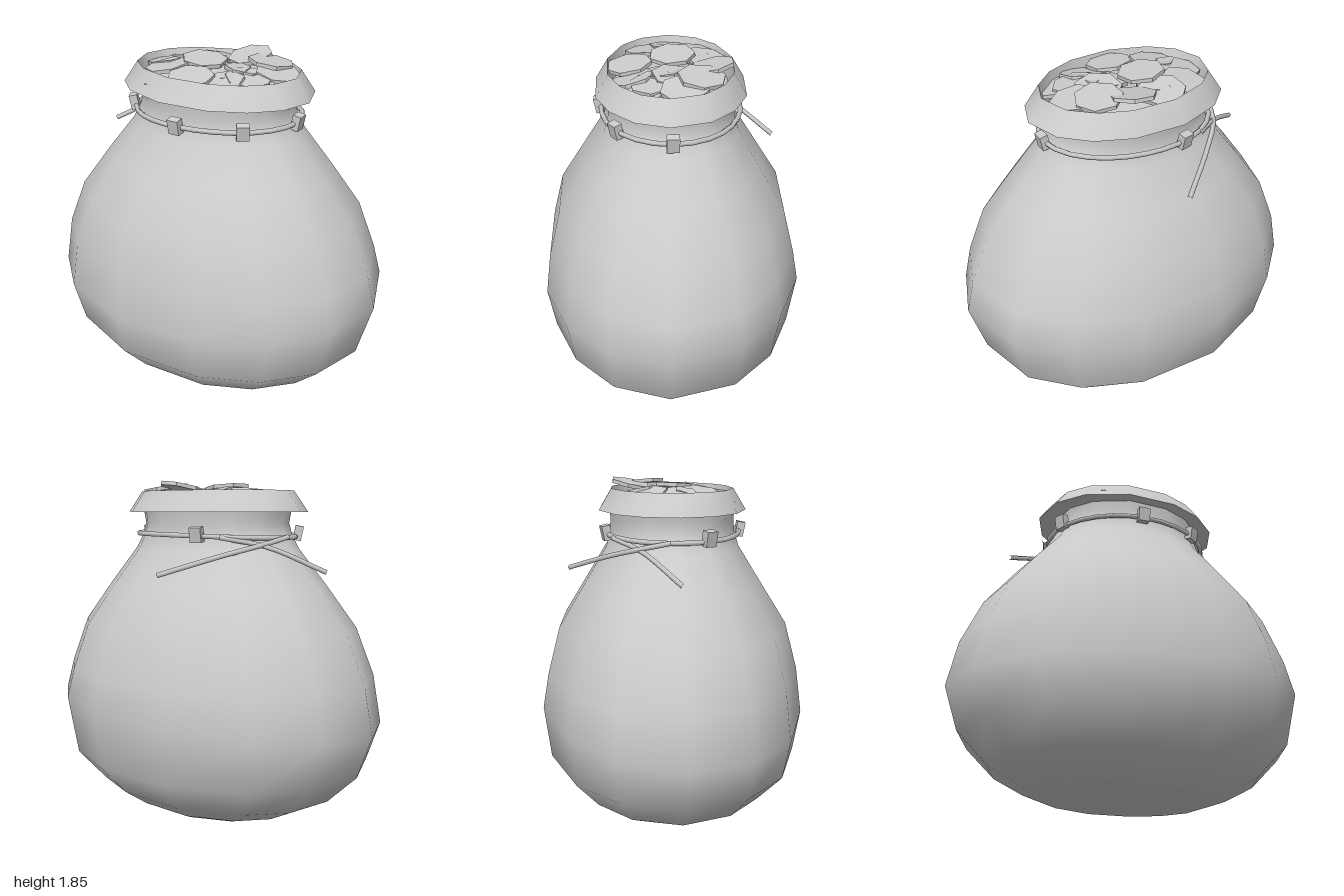
import * as THREE from 'three';
import { toCreasedNormals } from 'three/addons/utils/BufferGeometryUtils.js';

const material = new THREE.MeshStandardMaterial({ color: 0xcccccc });
const flatMaterial = new THREE.MeshStandardMaterial({ color: 0xcccccc, flatShading: true });

// Corner angles of the slightly irregular 14-sided outline
const ANGLES = [2, 27, 49.5, 72, 101.5, 130, 153, 180, 207, 230, 258.5, 288, 310.5, 333]
  .map(THREE.MathUtils.degToRad);

// Skin over oval rings [rx, rz, y, tiltX, tiltZ]
function loft(rings) {
  const n = ANGLES.length, pos = [], index = [];
  for (const [rx, rz, y, tx = 0, tz = 0] of rings) {
    for (const a of ANGLES) {
      const x = rx * Math.cos(a), z = rz * Math.sin(a);
      pos.push(x, y + tx * x + tz * z, z);
    }
  }
  for (let i = 0; i < rings.length - 1; i++) {
    for (let j = 0; j < n; j++) {
      const a = i * n + j, b = i * n + (j + 1) % n;
      index.push(a, a + n, b, b, a + n, b + n);
    }
  }
  const g = new THREE.BufferGeometry();
  g.setAttribute('position', new THREE.Float32BufferAttribute(pos, 3));
  g.setIndex(index);
  g.computeVertexNormals();
  return g;
}

function add(parent, name, geometry, mat = material) {
  const mesh = new THREE.Mesh(geometry, mat);
  mesh.name = name;
  parent.add(mesh);
  return mesh;
}

function cord(points, radius, closed = false) {
  const curve = new THREE.CatmullRomCurve3(points.map(p => new THREE.Vector3(...p)), closed);
  return new THREE.TubeGeometry(curve, closed ? 28 : 8, radius, 5, closed);
}

export function createModel() {
  const model = new THREE.Group();

  // Bulging cloth body up to the neck
  add(model, 'sackBody', loft([
    [0.48, 0.38, 0],
    [0.58, 0.45, 0.035],
    [0.75, 0.57, 0.125],
    [0.92, 0.715, 0.295],
    [1.0, 0.75, 0.57, 0.04, -0.045],
    [0.95, 0.715, 0.79],
    [0.84, 0.645, 1.05],
    [0.665, 0.5, 1.28],
    [0.5, 0.375, 1.48],
    [0.455, 0.35, 1.56],
    [0.435, 0.345, 1.62],
    [0.45, 0.35, 1.69],
  ]));
  add(model, 'sackBase', loft([[0.001, 0.001, 0], [0.48, 0.38, 0]]));

  // Folded-over collar with its underside and inner wall
  add(model, 'collar', toCreasedNormals(loft([
    [0.44, 0.345, 1.68],
    [0.55, 0.41, 1.68],
    [0.47, 0.34, 1.795],
    [0.42, 0.31, 1.65],
  ]), 0.8));
  add(model, 'fillingBed', loft([[0.43, 0.32, 1.68], [0.001, 0.001, 1.73]]));

  // Drawstring: ring around the neck
  const ring = [];
  for (let i = 0; i < 14; i++) {
    const a = i / 14 * Math.PI * 2;
    const x = 0.48 * Math.cos(a);
    ring.push([x, 1.56 + 0.03 * Math.min(x, 0), 0.375 * Math.sin(a)]);
  }
  const drawstring = new THREE.Group();
  drawstring.name = 'drawstring';
  model.add(drawstring);
  add(drawstring, 'drawstringRing', cord(ring, 0.014, true));

  // Two loose ends that cross at the back right
  const ends = [
    [[-0.26, 1.55, -0.33], [-0.46, 1.5, -0.18], [-0.71, 1.37, 0]],
    [[-0.5, 1.55, -0.04], [-0.45, 1.515, -0.19], [-0.3, 1.46, -0.35], [-0.04, 1.36, -0.57]],
  ];
  ends.forEach(points => add(drawstring, 'drawstringEnd', cord(points, 0.014)));

  // Cloth loops holding the drawstring
  const loops = [[-0.02, 0.385], [0.32, 0.285], [0.485, 0], [-0.14, -0.365], [-0.445, 0.16]];
  for (const [x, z] of loops) {
    const loop = add(model, 'drawstringLoop', new THREE.BoxGeometry(0.065, 0.08, 0.045), flatMaterial);
    loop.position.set(x, 1.565, z);
    loop.rotation.set(0.2, Math.atan2(x / 0.23, z / 0.14), 0, 'YXZ');
  }

  // Heap of seven-sided coins: [x, y, z, tiltX, tiltZ]
  const coins = [
    [0.08, 1.81, -0.21, 0.2, 0.08], [-0.09, 1.81, -0.01, 0.05, -0.1],
    [-0.24, 1.785, 0.12, 0.1, 0.15], [-0.03, 1.78, 0.22, 0.15, -0.05],
    [0.24, 1.81, -0.15, -0.08, -0.12], [0.33, 1.785, -0.06, 0.05, -0.2],
    [-0.32, 1.775, -0.01, -0.05, 0.2], [-0.26, 1.775, -0.16, -0.18, 0.15],
    [0.24, 1.78, 0.09, 0.1, -0.1], [0.3, 1.755, 0.15, 0.2, -0.2],
    [0.14, 1.765, 0.2, 0.25, 0.1], [-0.1, 1.78, -0.2, -0.2, -0.1],
    [0.09, 1.78, 0.05, 0.1, 0.15], [0.17, 1.785, -0.02, -0.15, -0.1],
    [-0.18, 1.75, 0.22, 0.2, 0.1], [-0.14, 1.765, -0.1, 0.1, 0.1],
  ];
  const heap = new THREE.Group();
  heap.name = 'coins';
  model.add(heap);
  const coinGeometry = new THREE.CylinderGeometry(0.125, 0.125, 0.02, 7);
  coins.forEach(([x, y, z, tx, tz], i) => {
    const coin = add(heap, 'coin', coinGeometry, flatMaterial);
    coin.position.set(x, y, z);
    coin.rotation.set(tx, i * 1.3, tz, 'XZY');
  });

  return model;
}
